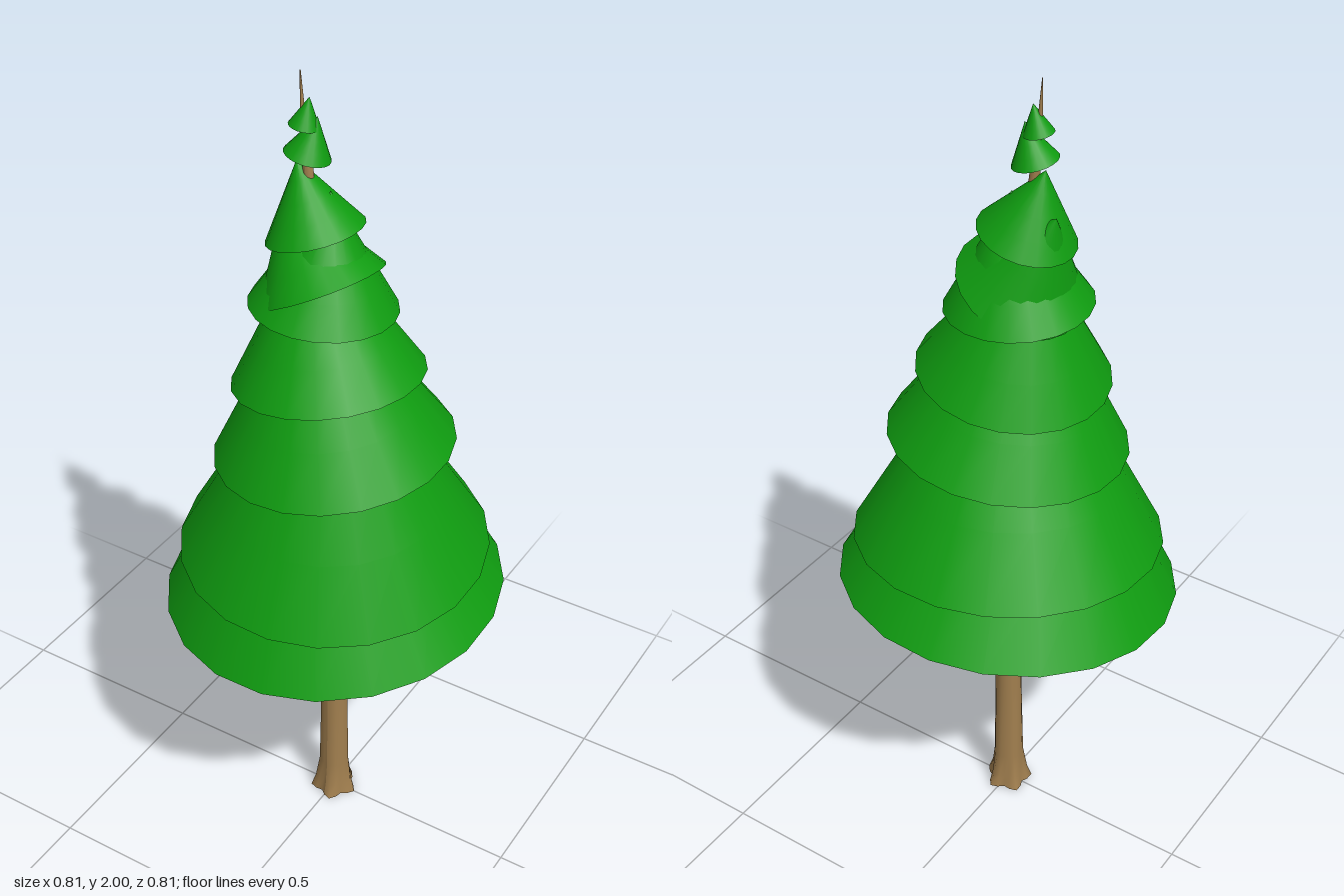
import * as THREE from 'three';

const bark = new THREE.MeshStandardMaterial({ color: 0xa07e4e });
const needles = new THREE.MeshStandardMaterial({ color: 0x0f9c10 });

// Trunk rings: height, centre x, radius, depth of the root lobes
const RINGS = [
  [0, 0, 0.052, 0.18], [0.035, 0, 0.044, 0.12], [0.1, 0, 0.037, 0.04], [0.35, 0, 0.033, 0],
  [0.7, 0, 0.028, 0], [1.1, -0.005, 0.023, 0], [1.4, -0.025, 0.018, 0], [1.65, -0.052, 0.014, 0],
  [1.8, -0.066, 0.011, 0], [1.92, -0.077, 0.005, 0], [2, -0.081, 0.001, 0],
];

// Tiers: left rim x, y; right rim x, y; front rim y, back rim y; height along the cone's axis
const TIERS = [
  [-0.41, 0.698, 0.41, 0.726, 0.675, 0.75, 0.7],
  [-0.37, 0.848, 0.37, 0.832, 0.812, 0.876, 0.65],
  [-0.28, 1.09, 0.28, 1.142, 1.102, 1.132, 0.46],
  [-0.235, 1.265, 0.205, 1.33, 1.305, 1.287, 0.36],
  [-0.195, 1.477, 0.14, 1.463, 1.483, 1.468, 0.27],
  [-0.163, 1.45, 0.1, 1.587, 1.532, 1.5, 0.225],
  [-0.155, 1.615, 0.06, 1.675, 1.643, 1.643, 0.165],
  [-0.117, 1.828, -0.015, 1.805, 1.822, 1.81, 0.09],
  [-0.107, 1.886, -0.04, 1.875, 1.883, 1.877, 0.065],
];

// Tapering trunk that leans left near the top and flares into root lobes
function makeTrunk() {
  const last = RINGS.length - 1;
  const geo = new THREE.CylinderGeometry(1, 1, 1, 20, last);
  const p = geo.attributes.position;
  for (let i = 0; i < p.count; i++) {
    const [y, cx, r, lobe] = RINGS[Math.round((p.getY(i) + 0.5) * last)];
    const k = r * (1 + lobe * Math.cos(5 * Math.atan2(p.getZ(i), p.getX(i))));
    p.setXYZ(i, cx + p.getX(i) * k, y, p.getZ(i) * k);
  }
  geo.computeVertexNormals();
  const mesh = new THREE.Mesh(geo, bark);
  mesh.name = 'trunk';
  return mesh;
}

// Closed cone whose base plane passes through the given rim points
function makeTier([xl, yl, xr, yr, yf, yb, height]) {
  const width = xr - xl;
  const slopeX = (yr - yl) / width;
  const slopeZ = (yf - yb) / width;
  const radius = (width / 2) * Math.hypot(1, slopeX);
  const geo = new THREE.ConeGeometry(radius, height, 20, 4);
  geo.translate(0, height / 2, 0);
  geo.rotateY(THREE.MathUtils.degToRad(7.6));
  const mesh = new THREE.Mesh(geo, needles);
  mesh.position.set((xl + xr) / 2, (yl + yr + yf + yb) / 4, 0);
  const axis = new THREE.Vector3(-slopeX, 1, -slopeZ).normalize();
  mesh.quaternion.setFromUnitVectors(new THREE.Vector3(0, 1, 0), axis);
  return mesh;
}

export function createModel() {
  const tree = new THREE.Group();
  tree.name = 'firTree';
  tree.add(makeTrunk());
  const foliage = new THREE.Group();
  foliage.name = 'foliage';
  TIERS.forEach((tier, i) => {
    const mesh = makeTier(tier);
    mesh.name = `branchTier${i + 1}`;
    foliage.add(mesh);
  });
  tree.add(foliage);
  return tree;
}
